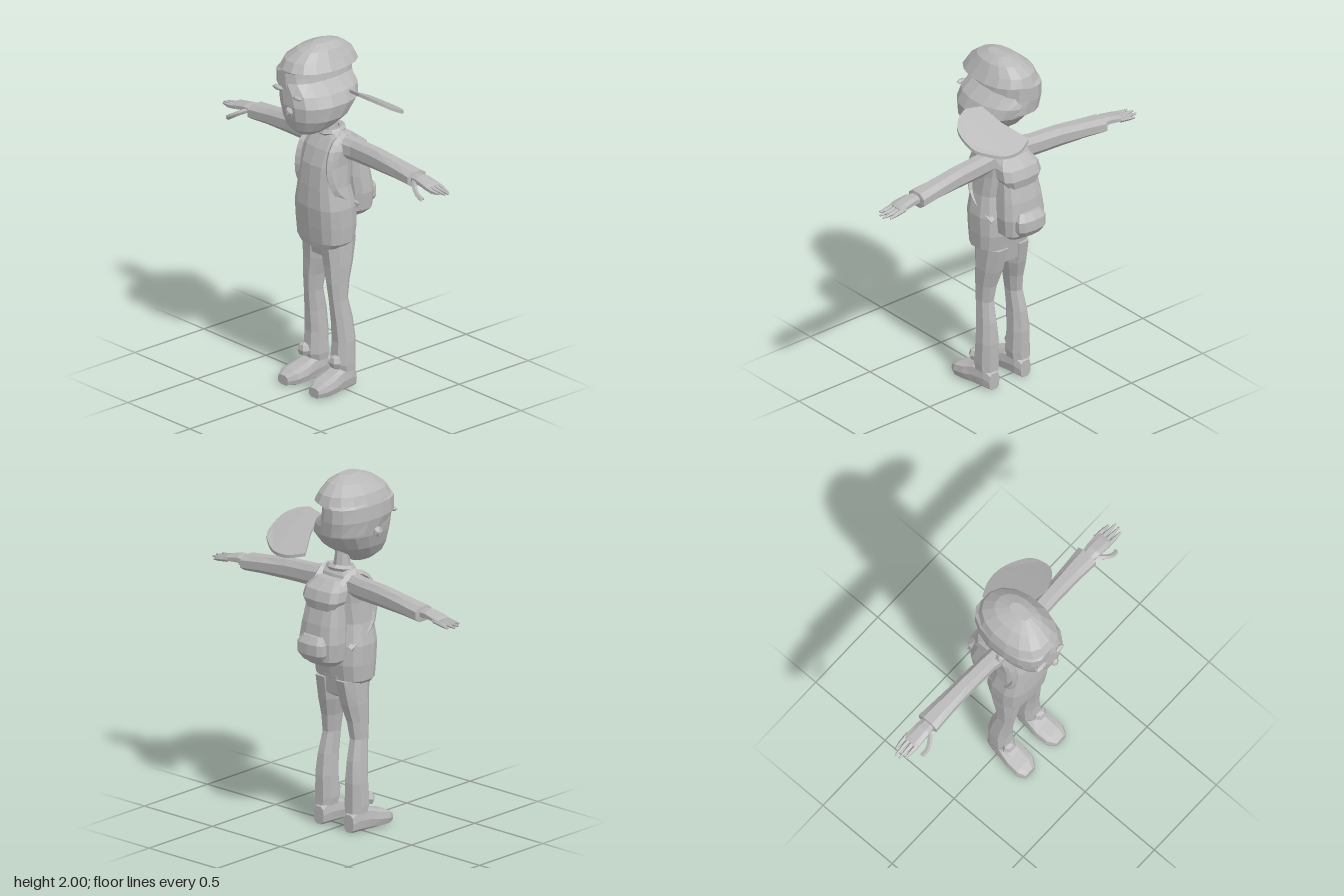
import * as THREE from 'three';

const grey = new THREE.MeshStandardMaterial({ color: 0xb8b8b8, flatShading: true, side: THREE.DoubleSide });
grey.name = 'plain grey';

// Superellipse sections along an axis; each ring is [position, a0, a1, b0, b1].
// Axis y: a = x, b = z. Axis x: a = z, b = y. Axis z: a = y, b = x.
function loft(axis, rings, sides = 12, power = 2.4) {
  const pos = [], idx = [];
  const put = (h, a, b) => {
    if (axis === 'y') pos.push(a, h, b);
    else if (axis === 'x') pos.push(h, b, a);
    else pos.push(b, a, h);
  };
  const bend = v => Math.sign(v) * Math.pow(Math.abs(v), 2 / power);
  const k = Math.cos(Math.PI / sides * 0.5);
  for (const [h, a0, a1, b0, b1] of rings) {
    for (let j = 0; j < sides; j++) {
      const t = ((j + 0.5) / sides) * Math.PI * 2;
      put(h, (a0 + a1) / 2 + (a1 - a0) / 2 * bend(Math.cos(t)) / k,
        (b0 + b1) / 2 + (b1 - b0) / 2 * bend(Math.sin(t)) / k);
    }
  }
  for (let i = 0; i < rings.length - 1; i++) {
    for (let j = 0; j < sides; j++) {
      const a = i * sides + j, b = i * sides + (j + 1) % sides;
      idx.push(a, a + sides, b, b, a + sides, b + sides);
    }
  }
  // End caps
  for (const end of [0, rings.length - 1]) {
    const [h, a0, a1, b0, b1] = rings[end];
    const c = pos.length / 3;
    put(h, (a0 + a1) / 2, (b0 + b1) / 2);
    for (let j = 0; j < sides; j++) {
      const p = end * sides + j, q = end * sides + (j + 1) % sides;
      if (end === 0) idx.push(c, p, q); else idx.push(c, q, p);
    }
  }
  const g = new THREE.BufferGeometry();
  g.setAttribute('position', new THREE.Float32BufferAttribute(pos, 3));
  g.setIndex(idx);
  g.computeVertexNormals();
  return g;
}

// Copy of an indexed geometry across x = 0 with the corner order reversed
function mirrored(g) {
  const m = g.clone().scale(-1, 1, 1);
  const ix = m.index.array;
  for (let i = 0; i < ix.length; i += 3) [ix[i], ix[i + 1]] = [ix[i + 1], ix[i]];
  m.computeVertexNormals();
  return m;
}

export function createModel() {
  const model = new THREE.Group();
  const add = (name, g) => {
    const mesh = new THREE.Mesh(g, grey);
    mesh.name = name;
    model.add(mesh);
  };
  const pair = (name, g) => {
    add('left' + name, g);
    add('right' + name, mirrored(g));
  };
  const tube = (points, r, segs, sides) => new THREE.TubeGeometry(
    new THREE.CatmullRomCurve3(points.map(p => new THREE.Vector3(...p))), segs, r, sides);

  // Head, narrowing to the chin and hollowed on the upper left
  add('head', loft('y', [
    [1.50, -0.06, 0.05, 0.05, 0.20], [1.54, -0.11, 0.11, 0.0, 0.25],
    [1.60, -0.15, 0.155, -0.09, 0.27], [1.68, -0.18, 0.17, -0.16, 0.28],
    [1.74, -0.19, 0.14, -0.18, 0.275], [1.80, -0.19, 0.065, -0.18, 0.27],
    [1.89, -0.17, 0.05, -0.16, 0.24]], 16, 2.3));

  // Cap crown with its peak overhanging the hollow side
  add('cap', loft('y', [
    [1.70, -0.19, 0.10, -0.19, 0.20], [1.78, -0.205, 0.07, -0.20, 0.275],
    [1.858, -0.20, 0.055, -0.20, 0.275], [1.872, -0.195, 0.135, -0.195, 0.275],
    [1.92, -0.175, 0.105, -0.175, 0.245], [1.97, -0.115, 0.075, -0.11, 0.18],
    [2.0, -0.04, 0.03, -0.03, 0.10]], 16, 2.2));

  // Tilted brim pointing back and to the side
  const outline = new THREE.Shape();
  outline.moveTo(0.03, -0.27);
  outline.splineThru([[0.12, -0.31], [0.22, -0.31], [0.31, -0.265], [0.37, -0.20], [0.375, -0.09],
    [0.32, -0.03], [0.25, 0.0]].map(p => new THREE.Vector2(...p)));
  outline.lineTo(0.15, -0.02);
  outline.lineTo(0.11, -0.14);
  const brim = new THREE.ExtrudeGeometry(outline, { depth: 0.018, bevelEnabled: false, curveSegments: 3 });
  const bp = brim.attributes.position;
  for (let i = 0; i < bp.count; i++) {
    const x = bp.getX(i), z = bp.getY(i);
    bp.setXYZ(i, x, 1.755 + 0.55 * z - 1.2 * Math.max(0, x - 0.3) ** 2 - bp.getZ(i), z);
  }
  brim.computeVertexNormals();
  add('brim', brim);

  // Small face features and ear
  const bump = (name, x, y, z, w, h, d) =>
    add(name, new THREE.IcosahedronGeometry(1, 0).scale(w, h, d).translate(x, y, z));
  bump('nose', 0.0, 1.65, 0.28, 0.028, 0.03, 0.022);
  bump('rightBrow', -0.10, 1.76, 0.27, 0.045, 0.016, 0.022);
  bump('leftBrow', 0.05, 1.74, 0.268, 0.035, 0.014, 0.018);
  bump('ear', -0.195, 1.70, 0.06, 0.025, 0.035, 0.03);

  add('neck', new THREE.CylinderGeometry(0.033, 0.055, 0.16, 8).translate(0, 1.51, -0.012));

  // Jacket
  add('jacket', loft('y', [
    [0.83, -0.13, 0.13, -0.06, 0.125], [0.86, -0.165, 0.165, -0.10, 0.13],
    [0.95, -0.17, 0.17, -0.115, 0.14], [1.06, -0.17, 0.17, -0.11, 0.148],
    [1.18, -0.145, 0.145, -0.085, 0.14], [1.30, -0.135, 0.135, -0.095, 0.125],
    [1.39, -0.14, 0.14, -0.10, 0.09], [1.45, -0.125, 0.125, -0.085, 0.05],
    [1.48, -0.075, 0.075, -0.06, 0.025]], 14, 2.8));
  add('collar', new THREE.TorusGeometry(0.065, 0.018, 5, 10).rotateX(Math.PI / 2 + 0.15).translate(0, 1.478, -0.02));

  // Sleeves with flared cuffs
  pair('Sleeve', loft('x', [
    [0.09, -0.085, 0.03, 1.34, 1.465], [0.18, -0.09, 0.005, 1.335, 1.458],
    [0.35, -0.10, 0.0, 1.333, 1.45], [0.52, -0.115, 0.0, 1.33, 1.428],
    [0.645, -0.128, 0.005, 1.322, 1.412], [0.648, -0.10, -0.02, 1.34, 1.40]], 8));

  // Hands: palm, four fingers and a thumb
  pair('Palm', loft('x', [
    [0.62, -0.095, -0.02, 1.345, 1.395], [0.69, -0.105, -0.01, 1.35, 1.40],
    [0.77, -0.112, -0.008, 1.345, 1.38], [0.79, -0.11, -0.015, 1.35, 1.37]], 8));
  [[-0.10, 0.86], [-0.075, 0.89], [-0.048, 0.89], [-0.022, 0.87]].forEach(([z, tip], i) => {
    pair('Finger' + (i + 1), loft('x', [
      [0.755, z - 0.014, z + 0.014, 1.348, 1.376], [0.82, z - 0.012, z + 0.012, 1.338, 1.364],
      [tip, z - 0.005, z + 0.005, 1.335 + 0.004 * i, 1.345 + 0.004 * i]], 5, 2));
  });
  pair('Thumb', tube([[0.67, 1.37, -0.025], [0.71, 1.35, 0.012], [0.75, 1.325, 0.027], [0.785, 1.305, 0.02]], 0.014, 6, 5));

  // Trousers: hips and legs
  add('hips', loft('y', [
    [0.745, -0.045, 0.045, -0.05, 0.04], [0.77, -0.13, 0.13, -0.09, 0.08],
    [0.88, -0.13, 0.13, -0.105, 0.10]], 12));
  pair('Leg', loft('y', [
    [0.11, 0.05, 0.17, -0.08, 0.045], [0.15, 0.045, 0.172, -0.08, 0.06],
    [0.28, 0.05, 0.168, -0.08, 0.05], [0.40, 0.057, 0.155, -0.068, 0.058],
    [0.52, 0.058, 0.142, -0.04, 0.07], [0.62, 0.045, 0.142, -0.055, 0.08],
    [0.72, 0.018, 0.145, -0.085, 0.085], [0.86, 0.005, 0.14, -0.115, 0.10]], 8));
  pair('TrouserFold', new THREE.SphereGeometry(1, 6, 4).scale(0.045, 0.04, 0.035).translate(0.125, 0.17, 0.06));

  // Shoes
  pair('Shoe', loft('z', [
    [-0.078, 0.0, 0.10, 0.075, 0.145], [-0.04, 0.0, 0.135, 0.06, 0.16],
    [0.04, 0.0, 0.13, 0.05, 0.175], [0.10, 0.0, 0.105, 0.043, 0.188],
    [0.17, 0.0, 0.085, 0.05, 0.19], [0.215, 0.005, 0.06, 0.085, 0.165]], 10, 3));

  // Backpack with top flap and lower pocket
  add('backpack', loft('y', [
    [0.965, -0.09, 0.09, -0.21, -0.10], [1.0, -0.13, 0.13, -0.245, -0.08],
    [1.10, -0.14, 0.14, -0.25, -0.08], [1.20, -0.13, 0.13, -0.235, -0.07],
    [1.32, -0.115, 0.115, -0.20, -0.08], [1.40, -0.09, 0.09, -0.17, -0.07]], 12, 2.8));
  add('flap', loft('y', [
    [1.28, -0.10, 0.10, -0.215, -0.10], [1.33, -0.13, 0.13, -0.225, -0.08],
    [1.385, -0.125, 0.125, -0.205, -0.06], [1.435, -0.09, 0.09, -0.14, -0.05]], 10, 3));
  add('pocket', loft('y', [
    [1.0, -0.07, 0.07, -0.265, -0.20], [1.04, -0.095, 0.095, -0.292, -0.20],
    [1.10, -0.095, 0.095, -0.29, -0.20], [1.14, -0.07, 0.07, -0.26, -0.20]], 10, 2.8));

  // Shoulder straps
  pair('Strap', tube([[0.09, 1.40, -0.13], [0.10, 1.465, -0.04], [0.115, 1.42, 0.065],
    [0.125, 1.28, 0.105], [0.14, 1.15, 0.06], [0.13, 1.05, -0.09]], 0.02, 16, 4));

  return model;
}
